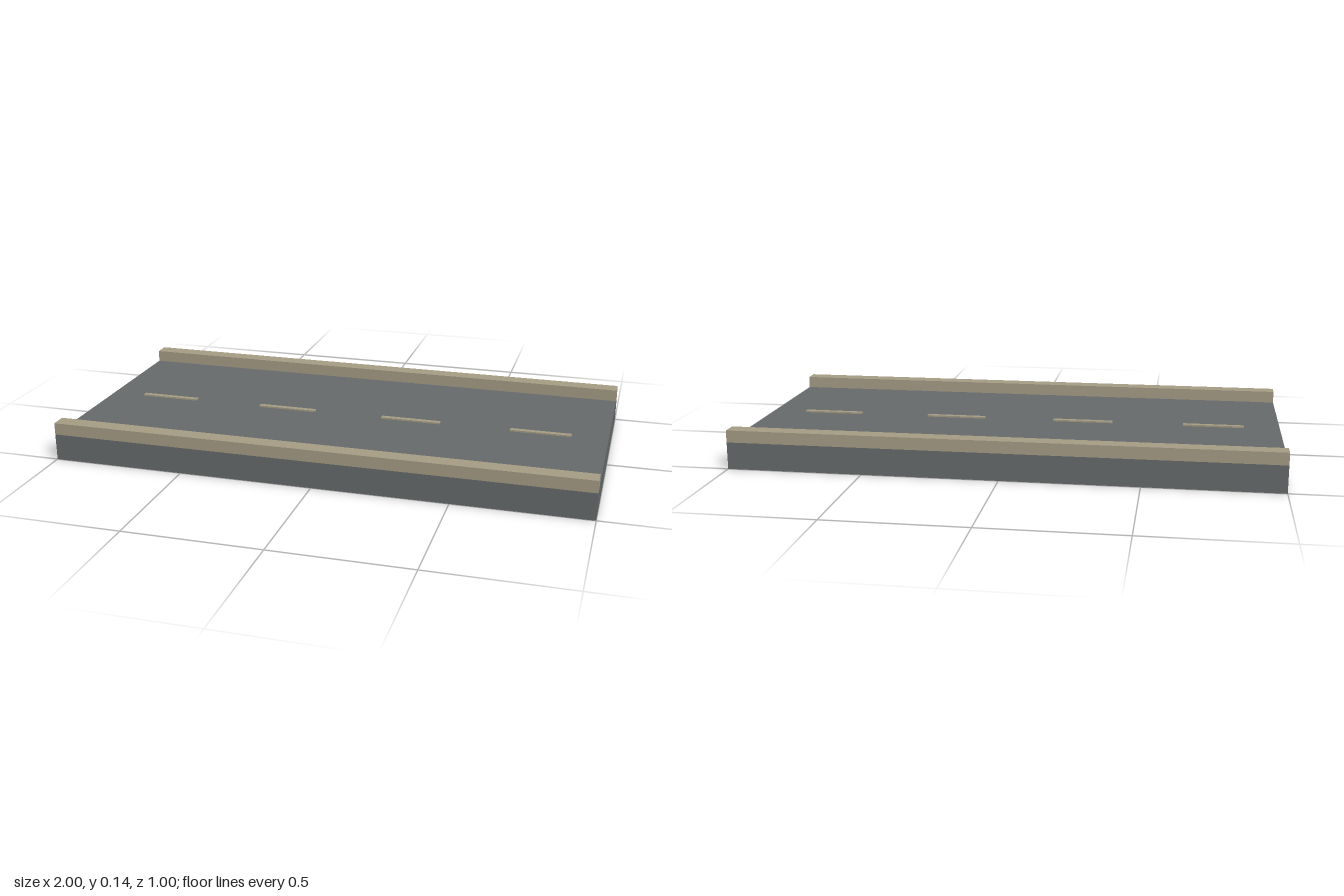
import * as THREE from 'three';

export function createModel() {
  const model = new THREE.Group();
  model.name = 'roadSegment';

  const asphalt = new THREE.MeshStandardMaterial({ color: 0x666b6b });
  asphalt.name = 'asphalt grey';
  const stone = new THREE.MeshStandardMaterial({ color: 0xa79d86 });
  stone.name = 'sandy stone';

  // Box placed by its centre in x and z and by its underside in y
  function addBox(name, material, [w, h, d], [x, bottom, z]) {
    const mesh = new THREE.Mesh(new THREE.BoxGeometry(w, h, d), material);
    mesh.name = name;
    mesh.position.set(x, bottom + h / 2, z);
    model.add(mesh);
  }

  const length = 2, width = 1, deckHeight = 0.1;
  const kerbWidth = 0.06, kerbHeight = 0.045;

  // Road deck
  addBox('roadDeck', asphalt, [length, deckHeight, width], [0, 0, 0]);

  // Raised kerbs along both long edges
  for (const [name, side] of [['frontKerb', 1], ['backKerb', -1]]) {
    addBox(name, stone, [length, kerbHeight, kerbWidth],
      [0, deckHeight, side * (width - kerbWidth) / 2]);
  }

  // Dashed centre line
  for (let i = 0; i < 4; i++) {
    addBox(`laneDash${i + 1}`, stone, [0.23, 0.006, 0.02],
      [-0.75 + i * 0.5, deckHeight, 0]);
  }

  return model;
}
